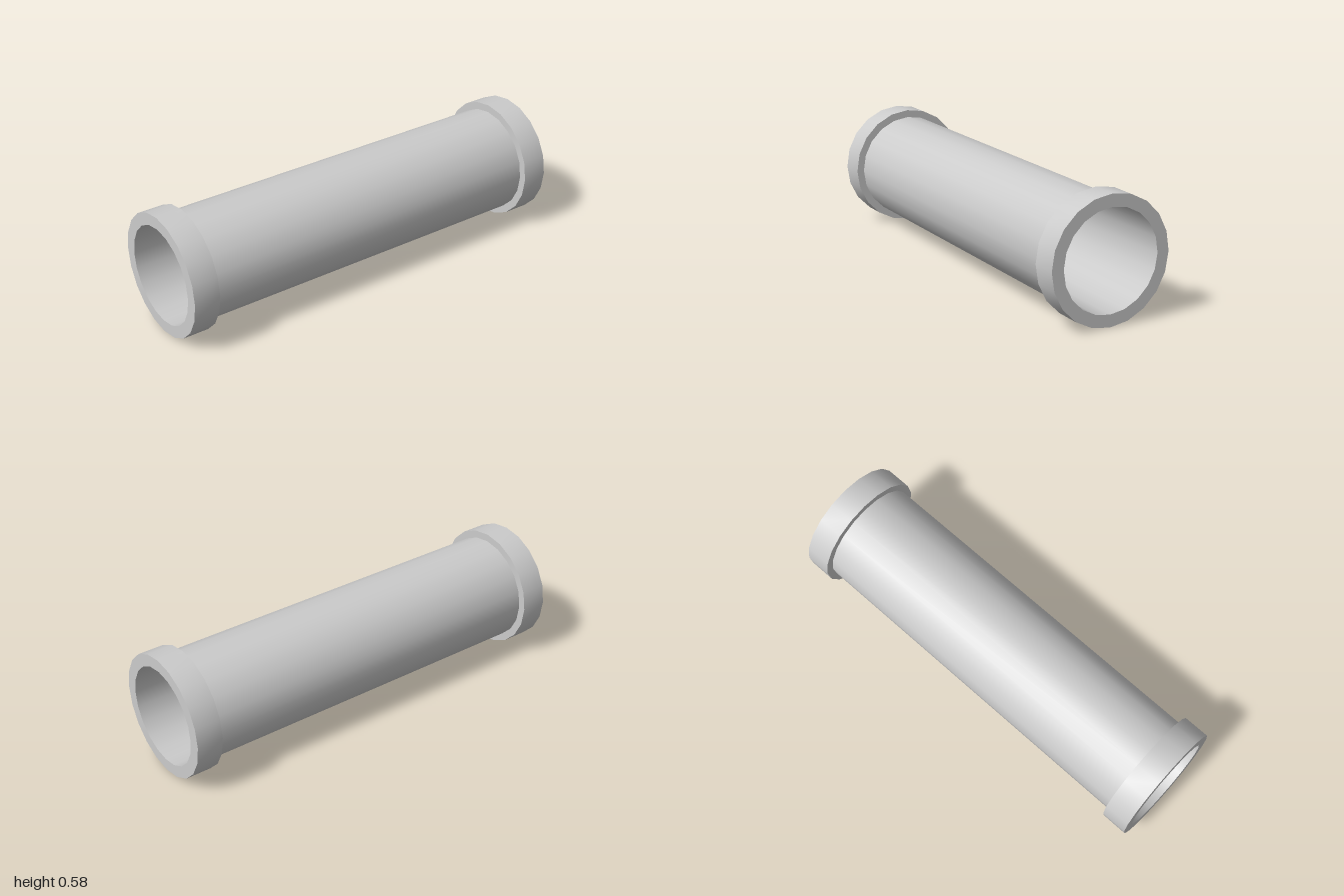
import * as THREE from 'three';
import { toCreasedNormals } from 'three/addons/utils/BufferGeometryUtils.js';

const SIDES = 20;
const BORE = 0.234, PIPE = 0.255, COLLAR = 0.2915; // radii
const END = 1, COLLAR_START = 0.875;               // distances along z

const material = new THREE.MeshStandardMaterial({ color: 0xcccccc });

// Turns a [radius, z] profile around the z axis, smooth around and sharp at the rims
function turned(name, profile) {
  const points = profile.map(([r, z]) => new THREE.Vector2(r, z));
  const lathe = new THREE.LatheGeometry(points, SIDES).rotateX(Math.PI / 2);
  const mesh = new THREE.Mesh(toCreasedNormals(lathe, 0.6), material);
  mesh.name = name;
  return mesh;
}

export function createModel() {
  const model = new THREE.Group();
  model.name = 'pipe';

  // Outer wall between the collars, and the bore through the full length
  model.add(turned('pipeWall', [[PIPE, -COLLAR_START], [PIPE, COLLAR_START]]));
  model.add(turned('bore', [[BORE, END], [BORE, -END]]));

  // A raised collar at each end, with its step and end rim
  for (const [name, angle] of [['frontCollar', 0], ['backCollar', Math.PI]]) {
    const collar = turned(name, [
      [PIPE, COLLAR_START], [COLLAR, COLLAR_START], [COLLAR, END], [BORE, END],
    ]);
    collar.rotation.y = angle;
    model.add(collar);
  }

  // Rest the collars on the ground
  for (const part of model.children) part.position.y = COLLAR;
  return model;
}
